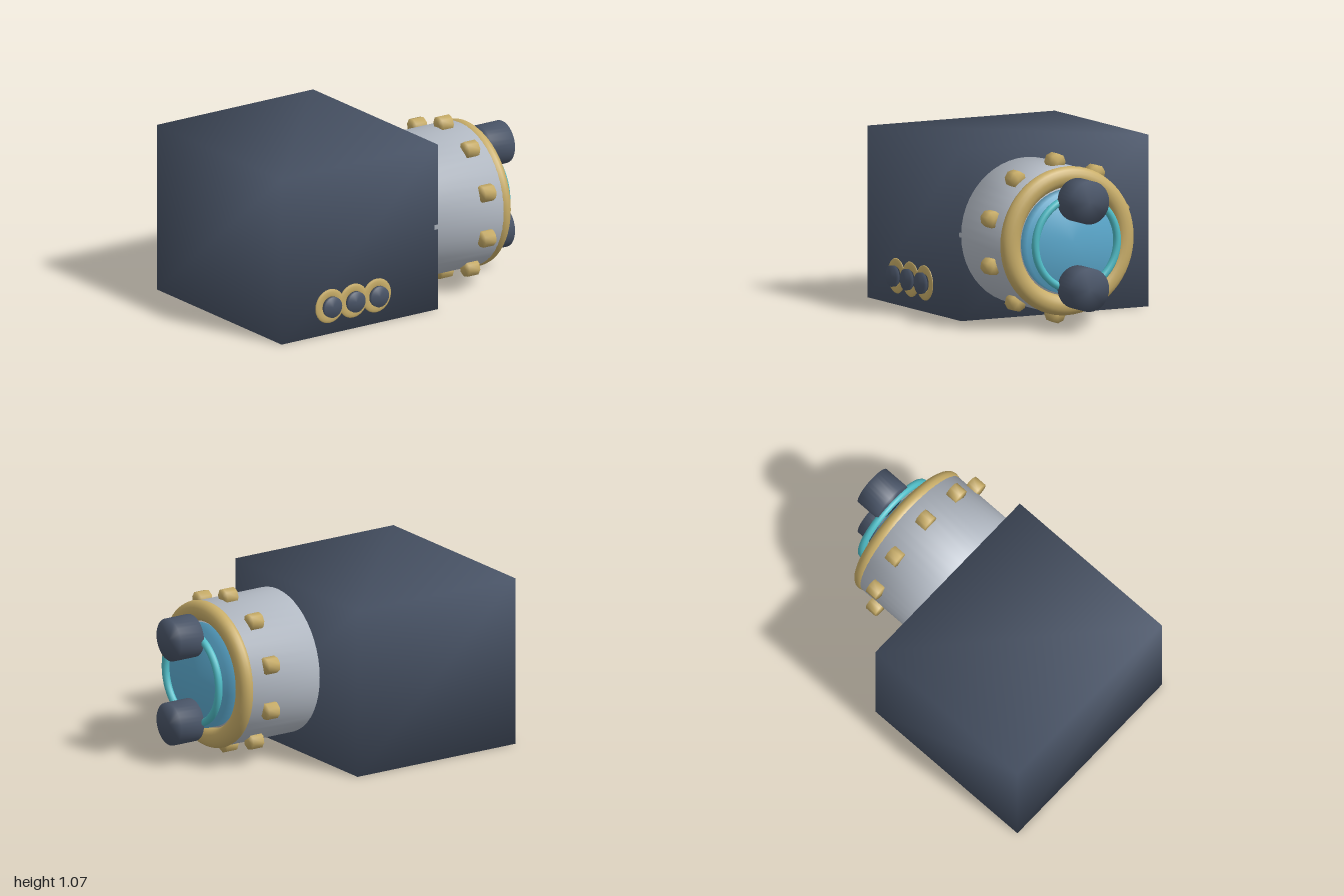
import * as THREE from 'three';
import { mergeVertices } from 'three/addons/utils/BufferGeometryUtils.js';

const AXIS_Y = 0.535, AXIS_Z = 0.18;

// Weld corners so that the shading runs smoothly across the edges.
function welded(geometry) {
  geometry.deleteAttribute('uv');
  geometry.deleteAttribute('normal');
  const g = mergeVertices(geometry, 1e-4);
  g.computeVertexNormals();
  return g;
}

// Cylinder along x, starting at x = 0.
function drum(radius, length, sides) {
  return welded(new THREE.CylinderGeometry(radius, radius, length, sides)
    .rotateZ(-Math.PI / 2).translate(length / 2, 0, 0));
}

export function createModel() {
  const group = new THREE.Group();
  const paint = (name, color) => {
    const m = new THREE.MeshStandardMaterial({ color });
    m.name = name;
    return m;
  };
  const slate = paint('slate', 0x4a5568);
  const silver = paint('silver', 0xb4bbc5);
  const brass = paint('brass', 0xc8ad68);
  const blue = paint('lens blue', 0x5cabd0);
  const teal = paint('teal', 0x4fbcc6);

  const add = (name, geometry, material, x, y, z, parent = group) => {
    const mesh = new THREE.Mesh(geometry, material);
    mesh.name = name;
    mesh.position.set(x, y, z);
    parent.add(mesh);
    return mesh;
  };

  // Body
  add('body', welded(new THREE.BoxGeometry(1.185, 1.07, 1.32)), slate, -0.4075, 0.535, -0.025);

  // Barrel, with its parts strung along the x axis
  const barrel = new THREE.Group();
  barrel.name = 'barrel';
  barrel.position.set(0, AXIS_Y, AXIS_Z);
  group.add(barrel);
  add('barrelTube', drum(0.456, 0.55, 48), silver, 0.16, 0, 0, barrel);
  const collar = new THREE.TorusGeometry(0.4, 0.064, 16, 64).rotateY(Math.PI / 2).scale(0.82, 1, 1);
  add('collar', collar, brass, 0.708, 0, 0, barrel);
  add('lens', drum(0.326, 0.095, 48), blue, 0.69, 0, 0, barrel);
  add('lensRing', new THREE.TorusGeometry(0.288, 0.024, 12, 64).rotateY(Math.PI / 2),
    teal, 0.826, 0, 0, barrel);

  // Ten studs around the barrel
  const stud = drum(0.054, 0.08, 8);
  for (let i = 0; i < 10; i++) {
    const a = i * Math.PI / 5;
    const mesh = add('stud', stud, brass, 0.515, 0.475 * Math.cos(a), 0.475 * Math.sin(a), barrel);
    mesh.rotation.x = a;
  }

  // Two end knobs
  const knob = drum(0.135, 0.17, 32);
  for (const s of [1, -1]) add('knob', knob, slate, 0.83, s * 0.272, 0, barrel);

  // Three ringed buttons on the front
  const bezel = new THREE.TorusGeometry(0.082, 0.028, 10, 24).scale(1, 1, 0.25);
  const button = welded(new THREE.CylinderGeometry(0.066, 0.066, 0.024, 24).rotateX(Math.PI / 2));
  for (const x of [-0.635, -0.457, -0.28]) {
    add('buttonBezel', bezel, brass, x, 0.18, 0.635);
    add('button', button, slate, x, 0.18, 0.663);
  }
  return group;
}
